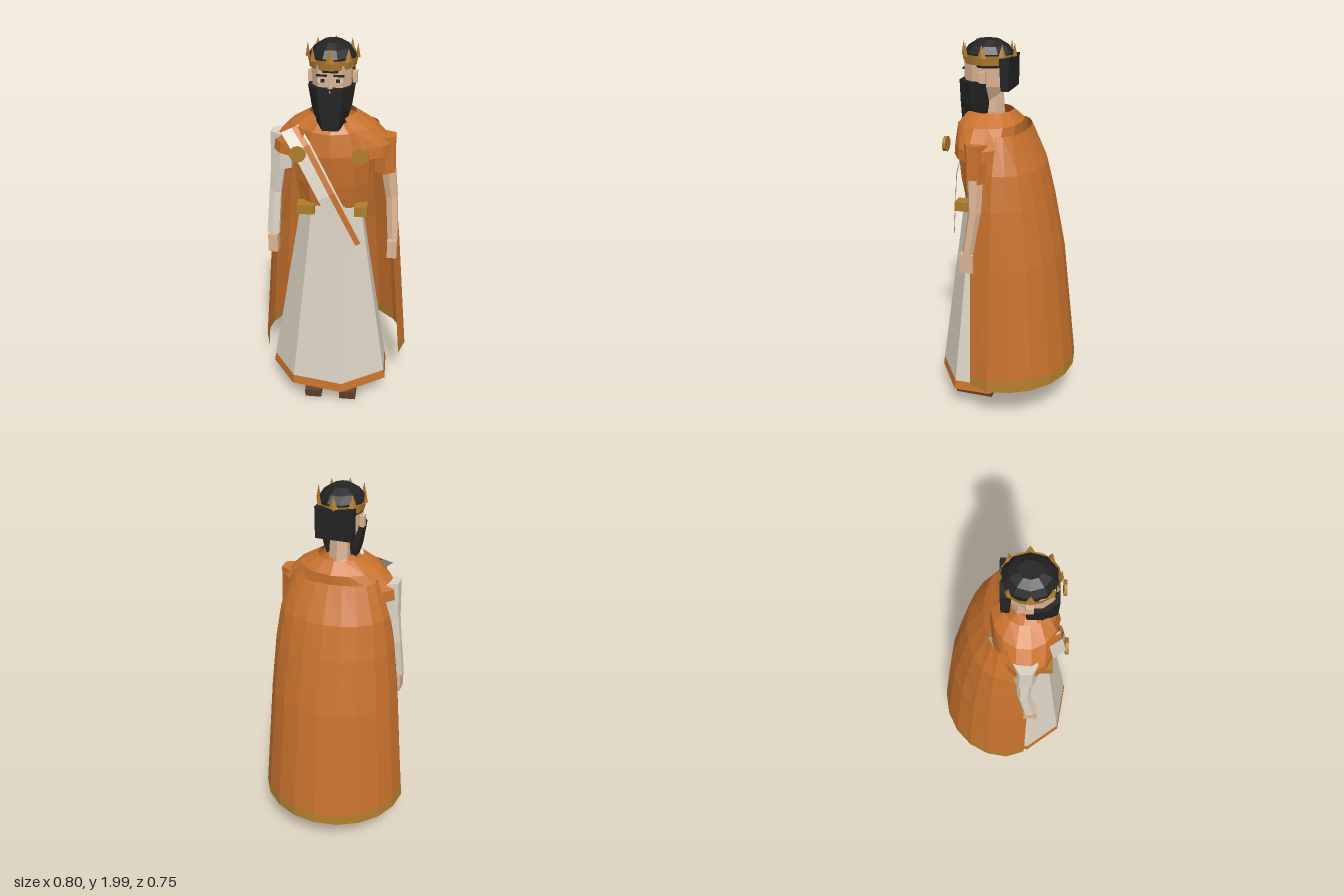
import * as THREE from 'three';

const mat = (name, color, side = THREE.FrontSide) => {
  const m = new THREE.MeshStandardMaterial({ color, flatShading: true, side });
  m.name = name;
  return m;
};

export function createModel() {
  const D = THREE.DoubleSide;
  const orange = mat('orange cloth', 0xc8722d, D), white = mat('cream cloth', 0xdad2c2, D);
  const gold = mat('gold', 0xb07c2c, D), black = mat('black hair', 0x232323);
  const skin = mat('skin', 0xdcb594), brown = mat('brown leather', 0x5c3d29);
  const model = new THREE.Group();

  const add = (name, geo, material, x = 0, y = 0, z = 0) => {
    const m = new THREE.Mesh(geo, material);
    m.name = name;
    m.position.set(x, y, z);
    model.add(m);
    return m;
  };

  // Skin rings of [x, y, z] points, listed bottom to top, turning from +x to +z
  const loft = (rings, closed = true, caps = false) => {
    const v = [], n = rings[0].length;
    for (let i = 0; i < rings.length - 1; i++)
      for (let j = 0; j < (closed ? n : n - 1); j++) {
        const k = (j + 1) % n, lo = rings[i], hi = rings[i + 1];
        v.push(...lo[j], ...hi[j], ...hi[k], ...lo[j], ...hi[k], ...lo[k]);
      }
    if (caps) {
      const b = rings[0], t = rings[rings.length - 1];
      for (let j = 1; j < n - 1; j++) v.push(...b[0], ...b[j], ...b[j + 1], ...t[0], ...t[j + 1], ...t[j]);
    }
    const g = new THREE.BufferGeometry();
    g.setAttribute('position', new THREE.Float32BufferAttribute(v, 3));
    g.computeVertexNormals();
    return g;
  };
  // Elliptical ring or arc
  const arc = (y, rx, rz, cz, n, from = 0, to = 360) => {
    const full = to - from === 360;
    return Array.from({ length: full ? n : n + 1 }, (_, i) => {
      const a = (from + (to - from) * i / n) * Math.PI / 180;
      return [rx * Math.cos(a), y, cz + rz * Math.sin(a)];
    });
  };
  // Tapered limb between two points
  const limb = (name, a, b, ra, rb, material, sides = 6) => {
    const p = new THREE.Vector3(...a), q = new THREE.Vector3(...b), d = q.clone().sub(p);
    const m = add(name, new THREE.CylinderGeometry(rb, ra, d.length(), sides), material);
    m.position.copy(p).add(q).multiplyScalar(0.5);
    m.quaternion.setFromUnitVectors(new THREE.Vector3(0, 1, 0), d.normalize());
  };

  // Skirt: uneven eight-sided bell with a coloured hem
  const hem = [[.3, .22], [.075, .37], [-.2, .32], [-.335, .13], [-.3, -.06], [-.08, -.165], [.17, -.13], [.295, .03]];
  const skirtRing = (y, s) => hem.map(([x, z]) => [x * s, y, .1 + (z - .1) * s]);
  add('skirtHem', loft([skirtRing(.13, 1), skirtRing(.18, .975)]), orange);
  add('skirt', loft([skirtRing(.18, .975), skirtRing(.97, .58), skirtRing(1.18, .48)]), white);

  // Torso and belt
  add('torso', loft([[1.17, .17, .11], [1.3, .19, .135], [1.46, .2, .15], [1.57, .15, .13], [1.635, .07, .08]]
    .map(([y, rx, rz]) => arc(y, rx, rz, .11, 10, 18, 378)), true, true), orange);
  add('belt', loft([arc(1.14, .175, .1, .1, 8), arc(1.19, .175, .1, .1, 8)]), gold);
  add('beltBlockRight', new THREE.BoxGeometry(.09, .05, .07), gold, -.125, 1.165, .2);
  add('beltBlockLeft', new THREE.BoxGeometry(.065, .05, .07), gold, .152, 1.165, .2);

  // Cloak wrapped around the back with a gold border
  const cloakRing = ([y, rx, rz, zEnd]) => [[-.92 * rx, y, zEnd], ...arc(y, rx, rz, 0, 10, 180, 360), [.92 * rx, y, zEnd]];
  const border = [.28, .395, .37, .107];
  add('cloakBorder', loft([[.22, .4, .375, .105], border].map(cloakRing), false), gold);
  add('cloak', loft([border, [.9, .345, .3, .11], [1.2, .315, .24, .1], [1.38, .285, .195, .055], [1.56, .22, .11, .005]]
    .map(cloakRing), false), orange);

  // Shoulder mantle, open at the front, and its clasps
  add('mantle', loft([[1.445, .305, .17], [1.5, .3, .165], [1.59, .21, .165], [1.645, .115, .115]]
    .map(([y, rx, rz]) => arc(y, rx, rz, .09, 12, 122, 418)), false), orange);
  for (const s of [-1, 1]) {
    add('clasp', new THREE.CylinderGeometry(.04, .04, .016, 10), gold, s * .15, 1.485, .283).rotation.x = Math.PI / 2;
  }

  // Diagonal sash made of three strips
  const path = [[-.2, 1.58, .2], [-.135, 1.51, .265], [-.01, 1.27, .292], [.12, .985, .265]];
  for (const [name, a, b, m] of [['sash', -.045, .012, white], ['sashStripe', .012, .04, orange], ['sashEdge', .04, .05, white]]) {
    const side = w => path.map(([x, y, z]) => [x + .89 * w, y + .36 * w, z - .3 * w]);
    add(name, loft([side(a), side(b)], false), m);
  }

  // Arms: bare left forearm, covered right arm
  for (const s of [-1, 1]) {
    const left = s > 0, cloth = left ? orange : white;
    limb('sleeve', [s * .262, 1.34, .09], [s * .258, 1.53, .09], .06, .058, cloth);
    limb('upperArm', [s * .3, 1.19, .085], [s * .275, 1.38, .09], .034, .042, left ? skin : white);
    limb('forearm', [s * .312, .97, .12], [s * .3, 1.2, .085], left ? .03 : .036, .034, left ? skin : white);
    add('hand', new THREE.BoxGeometry(.05, .1, .072), skin, s * .311, .92, .126);
  }

  // Legs and wedge shoes
  for (const s of [-1, 1]) {
    limb('leg', [s * .095, .08, .09], [s * .09, .75, .09], .032, .05, skin);
    const shoe = new THREE.BoxGeometry(.09, .1, .21), p = shoe.attributes.position;
    for (let i = 0; i < p.count; i++)
      if (p.getY(i) > 0 && p.getZ(i) > 0) p.setY(i, -.005);
    shoe.computeVertexNormals();
    add('shoe', shoe, brown, s * .096, .05, .165);
  }

  // Head and neck
  const skull = [[.1, 0], [.096, .06], [.06, .11], [-.06, .11], [-.096, .06], [-.1, 0], [-.06, -.1], [.06, -.1]];
  const headRing = (y, s, dz) => skull.map(([x, z]) => [x * s, y, .1 + dz + z * s]);
  add('head', loft([headRing(1.69, .6, .03), headRing(1.77, .92, .005), headRing(1.9, 1, 0)], true, true), skin);
  add('neck', new THREE.CylinderGeometry(.05, .058, .16, 6), skin, 0, 1.67, .075);
  add('nose', new THREE.ConeGeometry(.018, .065, 4), skin, 0, 1.81, .222);
  for (const s of [-1, 1]) {
    add('ear', new THREE.BoxGeometry(.022, .055, .035), skin, s * .107, 1.82, .1);
    add('eyeWhite', new THREE.BoxGeometry(.038, .016, .004), white, s * .04, 1.828, .21);
    add('iris', new THREE.BoxGeometry(.02, .016, .006), black, s * .036, 1.828, .211);
    add('brow', new THREE.BoxGeometry(.05, .009, .008), black, s * .041, 1.853, .212);
  }

  // Beard
  const beardRing = (y, w, zb) => [[w, y, zb], [w, y, .17], [.55 * w, y, .236], [-.55 * w, y, .236], [-w, y, .17], [-w, y, zb]];
  add('beard', loft([beardRing(1.59, .065, .1), beardRing(1.68, .092, .088), beardRing(1.795, .11, .09)], true, true), black);

  // Hair cap and the block of hair at the back
  add('hair', loft([[1.865, .105, .118], [1.93, .112, .125], [1.965, .088, .098], [1.99, .046, .055]]
    .map(([y, rx, rz]) => arc(y, rx, rz, .1, 10)), true, true), black);
  const backHair = new THREE.BoxGeometry(.19, .16, .05), h = backHair.attributes.position;
  for (let i = 0; i < h.count; i++) if (h.getY(i) < 0) h.setZ(i, h.getZ(i) * .8 - .002);
  backHair.computeVertexNormals();
  add('backHair', backHair, black, 0, 1.835, -.005);

  // Crown with eight points
  add('crownBand', loft([arc(1.878, .112, .126, .1, 16), arc(1.925, .12, .134, .1, 16)]), gold);
  for (let i = 0; i < 8; i++) {
    const a = i * Math.PI / 4;
    const spike = add('crownPoint', new THREE.ConeGeometry(.023, .065, 4), gold,
      .118 * Math.cos(a), 1.947, .1 + .132 * Math.sin(a));
    spike.rotation.y = -a;
    spike.scale.x = .5;
  }
  return model;
}
